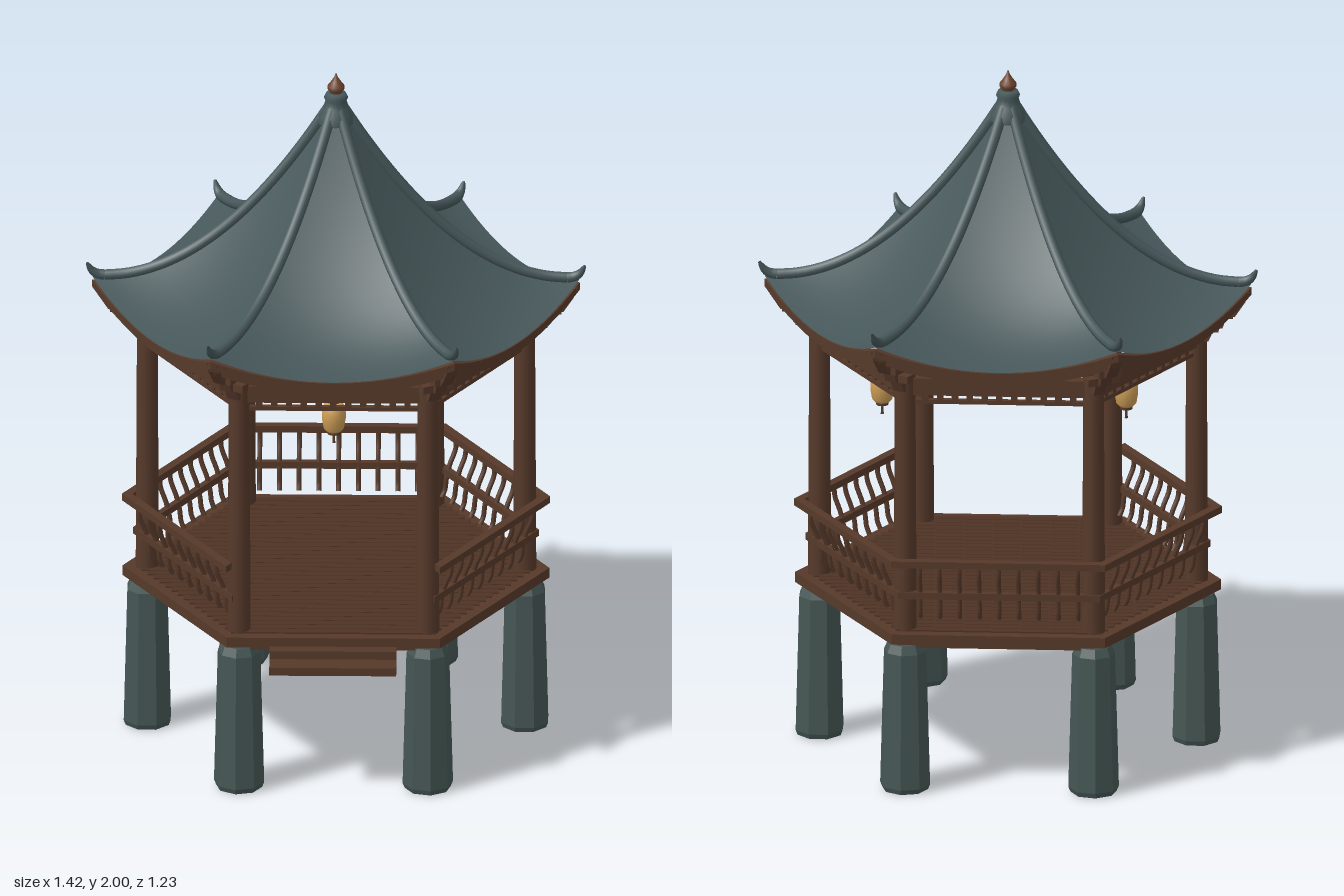
import * as THREE from 'three';
import { toCreasedNormals } from 'three/addons/utils/BufferGeometryUtils.js';

const mat = (name, color, side = THREE.FrontSide) => {
  const m = new THREE.MeshStandardMaterial({ color, side });
  m.name = name;
  return m;
};
const TAN30 = Math.tan(Math.PI / 6);
const COLUMN_R = 0.535; // corner radius of posts and columns
const COLUMN_A = COLUMN_R * Math.cos(Math.PI / 6); // same ring, measured to the side
const EAVE_R = 0.69;

const hipY = t => 1.92 - 1.16 * t + 0.607 * t * t;

export function createModel() {
  const model = new THREE.Group();
  model.name = 'pavilion';
  const wood = mat('dark wood', 0x56392a);
  const floorWood = mat('floor wood', 0x4f3324);
  const tile = mat('roof tile', 0x46575a, THREE.DoubleSide);
  const stone = mat('stone', 0x455654);
  const paper = mat('lantern paper', 0xcf9f57);
  const finialWood = mat('finial wood', 0x6e452e);

  const add = (parent, name, geometry, material, x = 0, y = 0, z = 0) => {
    const mesh = new THREE.Mesh(geometry, material);
    mesh.name = name;
    mesh.position.set(x, y, z);
    parent.add(mesh);
    return mesh;
  };
  const box = (parent, name, m, w, h, d, x, y, z) =>
    add(parent, name, new THREE.BoxGeometry(w, h, d), m, x, y, z);
  const lathe = (pts, n) => new THREE.LatheGeometry(pts.map(p => new THREE.Vector2(...p)), n);
  const path = pts => new THREE.CatmullRomCurve3(pts.map(p => new THREE.Vector3(0, ...p)));

  // Mitred beam along one side of the hexagon; its ends can sweep upward
  const sideBeam = (parent, name, apothem, depth, y, h, lift = 0) => {
    const g = new THREE.BoxGeometry(1, h, depth, lift ? 24 : 1);
    const p = g.attributes.position;
    for (let i = 0; i < p.count; i++) {
      const u = 2 * p.getX(i), z = apothem + p.getZ(i);
      p.setXYZ(i, u * z * TAN30, y + p.getY(i) + lift * u * u, z);
    }
    g.computeVertexNormals();
    return add(parent, name, g, wood);
  };
  const hexSlab = (name, m, r, y, h) =>
    add(model, name, new THREE.CylinderGeometry(r, r, h, 6, 1, false, Math.PI / 6).toNonIndexed(), m, 0, y, 0)
      .geometry.computeVertexNormals();

  // Floor, planks and entrance steps
  hexSlab('floorSlab', wood, 0.605, 0.465, 0.03);
  hexSlab('floorFrame', wood, 0.575, 0.442, 0.018);
  for (let i = -16; i <= 16; i++) {
    const z = i * 0.03;
    const w = 2 * (0.575 - (Math.abs(z) + 0.013) * TAN30);
    box(model, 'floorPlank', floorWood, w, 0.005, 0.026, 0, 0.482, z);
  }
  box(model, 'upperStep', wood, 0.36, 0.024, 0.07, 0, 0.442, 0.525);
  box(model, 'lowerStep', wood, 0.36, 0.024, 0.1, 0, 0.408, 0.55);

  // Shared corner geometries
  const postGeo = toCreasedNormals(lathe(
    [[0, 0], [0.066, 0], [0.072, 0.015], [0.061, 0.415], [0.05, 0.44], [0, 0.44]], 8), 0.3);
  postGeo.rotateY(Math.PI / 8);
  const columnGeo = new THREE.CylinderGeometry(0.029, 0.033, 0.8, 18);
  const bracketShape = new THREE.Shape();
  bracketShape.moveTo(0.5, 1.2);
  [[0.57, 1.2], [0.585, 1.235], [0.61, 1.24], [0.62, 1.27], [0.645, 1.275], [0.675, 1.32],
    [0.685, 1.35], [0.655, 1.34], [0.6, 1.3], [0.5, 1.285]].forEach(p => bracketShape.lineTo(...p));
  const bracketGeo = new THREE.ExtrudeGeometry(bracketShape, { depth: 0.036, bevelEnabled: false });
  bracketGeo.translate(0, 0, -0.018).rotateY(-Math.PI / 2);

  const hipPoints = [];
  for (let i = 0; i <= 12; i++) {
    const t = 0.03 + 0.92 * i / 12;
    hipPoints.push([hipY(t) + 0.008, t * EAVE_R]);
  }
  const hipGeo = new THREE.TubeGeometry(path(hipPoints), 40, 0.016, 8);
  const end = hipPoints[12];
  // Upturned tip: a tube narrowed along its length
  const tipCurve = path([end, [end[0] + 0.003, 0.675], [1.388, 0.692], [1.41, 0.706]]);
  const tipGeo = new THREE.TubeGeometry(tipCurve, 10, 0.016, 8);
  const tp = tipGeo.attributes.position;
  for (let i = 0; i < tp.count; i++) {
    const k = Math.floor(i / 9) / 10;
    const c = tipCurve.getPointAt(k), v = new THREE.Vector3().fromBufferAttribute(tp, i);
    v.sub(c).multiplyScalar(1 - 0.75 * k * k).add(c);
    tp.setXYZ(i, v.x, v.y, v.z);
  }

  for (let k = 0; k < 6; k++) {
    const corner = new THREE.Group(); // local +z points outward
    corner.name = 'corner';
    corner.rotation.y = Math.PI / 6 + k * Math.PI / 3;
    model.add(corner);
    add(corner, 'stonePost', postGeo, stone, 0, 0, COLUMN_R);
    add(corner, 'column', columnGeo, wood, 0, 0.88, COLUMN_R);
    add(corner, 'columnCap', new THREE.CylinderGeometry(0.042, 0.034, 0.03, 18), wood, 0, 1.265, COLUMN_R);
    add(corner, 'eaveBracket', bracketGeo, wood);
    box(corner, 'bracketArm', wood, 0.1, 0.022, 0.03, 0, 1.25, 0.585);
    box(corner, 'bracketBlock', wood, 0.07, 0.022, 0.03, 0, 1.285, 0.625);
    add(corner, 'hipRidge', hipGeo, tile);
    add(corner, 'hipTip', tipGeo, tile);
  }

  // Curved roof panel for one side
  const N = 20;
  const roofGeo = new THREE.PlaneGeometry(2, 1, N, N);
  const rp = roofGeo.attributes.position;
  for (let i = 0; i < rp.count; i++) {
    const s = rp.getX(i), t = Math.max(0.01, 0.5 - rp.getY(i));
    const z = t * EAVE_R * Math.cos(Math.PI / 6);
    rp.setXYZ(i, s * z * TAN30, hipY(t) - 0.07 * t * t * (1 - s * s), z);
  }
  roofGeo.computeVertexNormals();

  const balusterGeo = new THREE.TubeGeometry(
    path([[0.685, 0.515], [0.655, 0.513], [0.61, 0.494], [0.57, 0.483], [0.535, 0.478], [0.515, 0.468]]), 14, 0.007, 6);

  for (let k = 0; k < 6; k++) {
    const side = new THREE.Group(); // local +z points outward
    side.name = 'side';
    side.rotation.y = k * Math.PI / 3;
    model.add(side);
    add(side, 'roofPanel', roofGeo, tile);
    sideBeam(side, 'eaveBoard', 0.588, 0.022, 1.284, 0.022, 0.064);
    sideBeam(side, 'eavePurlin', 0.57, 0.024, 1.264, 0.022, 0.06);

    // Tie beam with a spaced rail below
    sideBeam(side, 'tieBeam', COLUMN_A, 0.034, 1.21, 0.05);
    sideBeam(side, 'lowerTieRail', COLUMN_A, 0.016, 1.163, 0.012);
    for (let i = -5; i <= 5; i++)
      box(side, 'tieBlock', wood, 0.018, 0.02, 0.014, i * 0.042, 1.177, COLUMN_A);

    // Leaning balustrade on every side but the entrance
    if (k > 0) {
      sideBeam(side, 'topRail', 0.513, 0.026, 0.69, 0.02);
      sideBeam(side, 'middleRail', 0.489, 0.018, 0.588, 0.02);
      for (let i = -4; i <= 4; i++) add(side, 'baluster', balusterGeo, wood, i * 0.056, 0, 0);
    }

    // Lantern on alternate sides
    if (k % 2 === 0) {
      const lantern = new THREE.Group();
      lantern.name = 'lantern';
      lantern.position.set(0, 1.11, 0.4);
      side.add(lantern);
      add(lantern, 'lanternBody', lathe([[0, -0.044], [0.02, -0.044], [0.029, -0.034], [0.034, -0.005],
        [0.034, 0.015], [0.029, 0.036], [0.02, 0.045], [0, 0.045]], 16), paper);
      for (const y of [-0.047, 0.048])
        add(lantern, 'lanternCap', new THREE.CylinderGeometry(0.018, 0.018, 0.01, 12), wood, 0, y, 0);
      add(lantern, 'tassel', new THREE.CylinderGeometry(0.003, 0.005, 0.03, 6), wood, 0, -0.065, 0);
      add(lantern, 'cord', new THREE.CylinderGeometry(0.003, 0.003, 0.06, 6), wood, 0, 0.075, 0);
      box(lantern, 'hanger', wood, 0.01, 0.01, 0.07, 0, 0.1, 0.03);
    }
  }

  // Roof crown and finial
  add(model, 'roofCrown', lathe([[0.052, 1.85], [0.05, 1.872], [0.036, 1.895], [0.03, 1.915],
    [0.034, 1.925], [0.028, 1.938], [0, 1.94]], 18), tile);
  add(model, 'finial', lathe([[0.014, 1.93], [0.016, 1.938], [0.024, 1.95], [0.024, 1.96], [0.014, 1.973],
    [0.006, 1.985], [0, 2]], 16), finialWood);
  return model;
}
